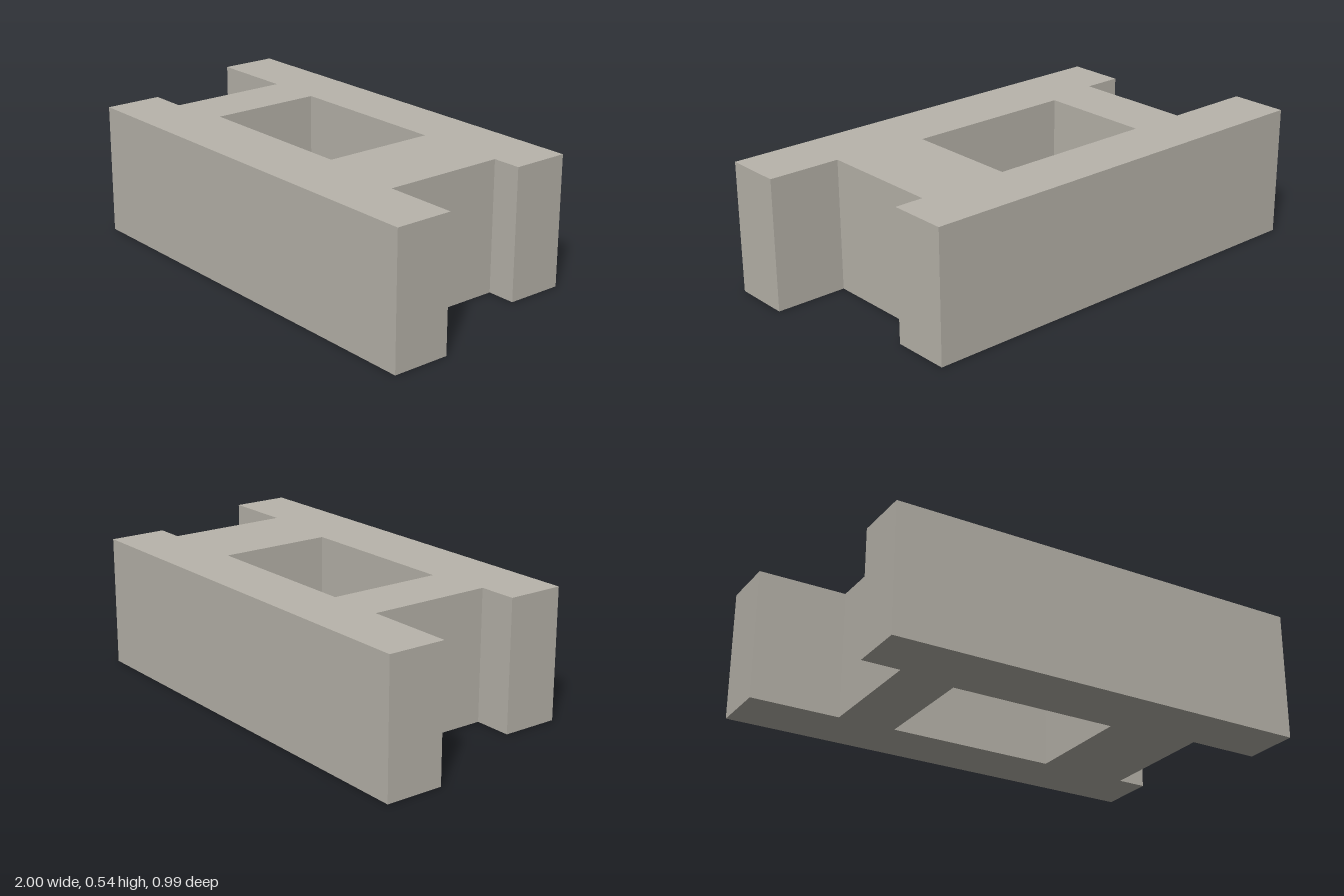
import * as THREE from 'three';

export function createModel() {
  const group = new THREE.Group();
  group.name = 'hollowBlock';

  const concrete = new THREE.MeshStandardMaterial({ color: 0xb8b4ab });
  concrete.name = 'concrete grey';

  // Plan points are [x, z]; the shape's y axis is -z
  const plan = (points) => points.map(([x, z]) => new THREE.Vector2(x, -z));

  // Outline: two offset face walls joined by two webs
  const outline = new THREE.Shape(plan([
    [-0.79, 0.497], [1, 0.497], [1, 0.257], [0.7, 0.257],
    [0.7, -0.257], [0.82, -0.257], [0.82, -0.497], [-1, -0.497],
    [-1, -0.257], [-0.63, -0.257], [-0.63, 0.257], [-0.79, 0.257],
  ]));

  // Rectangular core running right through the block
  outline.holes.push(new THREE.Path(plan([
    [-0.39, 0.22], [-0.39, -0.255], [0.32, -0.255], [0.32, 0.22],
  ])));

  const geometry = new THREE.ExtrudeGeometry(outline, { depth: 0.54, bevelEnabled: false });
  geometry.rotateX(-Math.PI / 2);

  const block = new THREE.Mesh(geometry, concrete);
  block.name = 'blockBody';
  group.add(block);
  return group;
}
